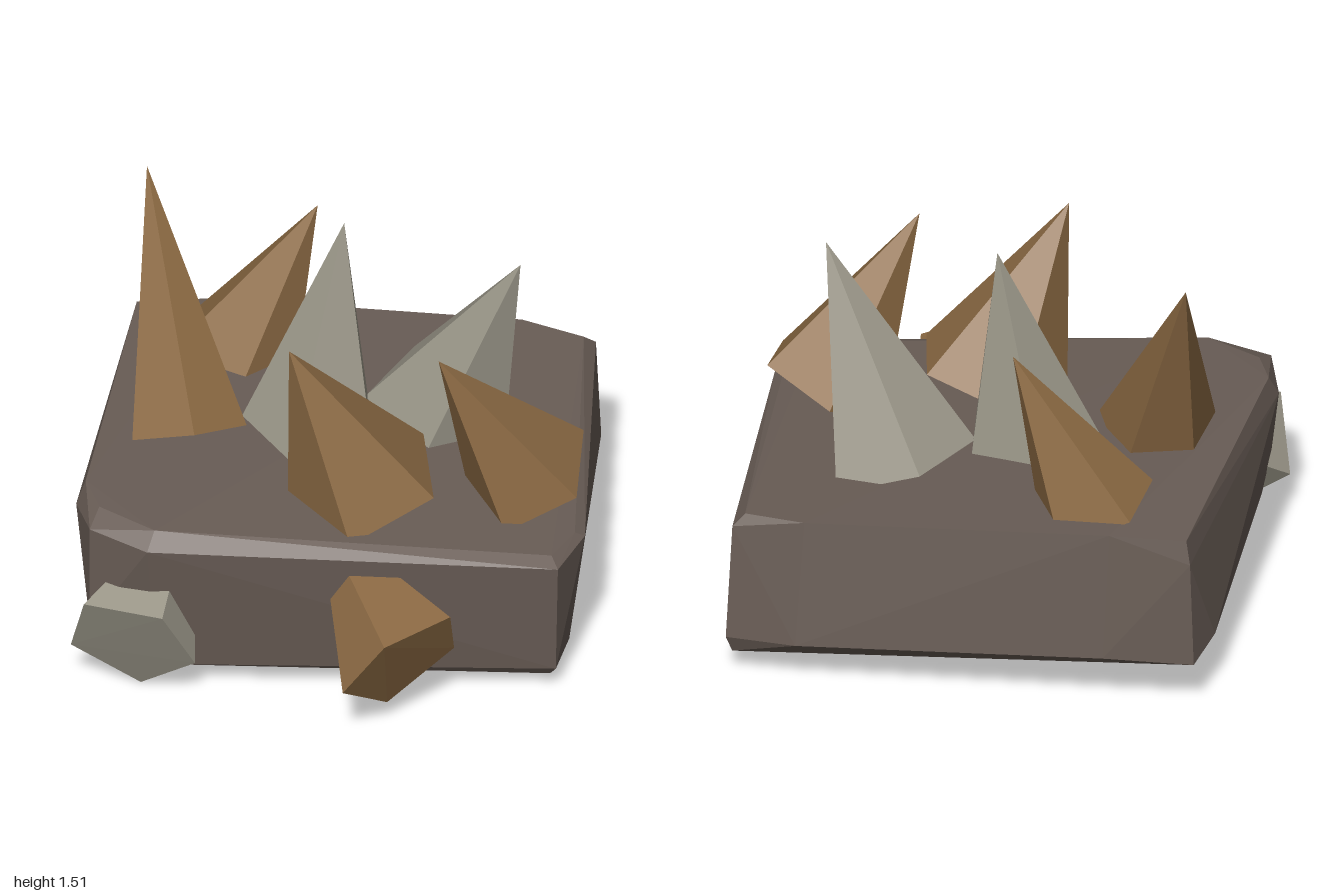
import * as THREE from 'three';
import { ConvexGeometry } from 'three/addons/geometries/ConvexGeometry.js';

const material = (name, color) => {
  const m = new THREE.MeshStandardMaterial({ color, flatShading: true });
  m.name = name;
  return m;
};
const vec = (p) => new THREE.Vector3(...p);

export function createModel() {
  const slabStone = material('darkStone', 0x685c55);
  const brown = material('brownCrystal', 0x8d6b44);
  const grey = material('greyCrystal', 0x9c988a);
  const model = new THREE.Group();
  model.name = 'crystalRock';

  const addHull = (name, mat, points) => {
    const mesh = new THREE.Mesh(new ConvexGeometry(points), mat);
    mesh.name = name;
    model.add(mesh);
  };

  // Five-sided spike: three neighbouring base corners fix the regular pentagon
  const phi = (1 + Math.sqrt(5)) / 2;
  const addSpike = (name, mat, apex, p0, p1, p2) => {
    const [a, b, c] = [p0, p1, p2].map(vec);
    const d = a.clone().addScaledVector(c.clone().sub(b), phi);
    const e = c.clone().addScaledVector(a.clone().sub(b), phi);
    addHull(name, mat, [vec(apex), a, b, c, d, e]);
  };

  // Chipped slab: top rim, upper shoulder, lower shoulder, underside
  const slab = [
    [-0.95, 0.69, -0.44], [-0.7, 0.7, -0.55], [0.33, 0.65, -0.9], [0.56, 0.63, -0.91],
    [0.95, 0.57, 0.14], [0.93, 0.575, 0.31], [-0.37, 0.68, 0.83], [-0.6, 0.69, 0.78], [-0.7, 0.7, 0.66],
    [-0.97, 0.6, -0.45], [0.59, 0.59, -0.95], [0.98, 0.55, 0.12], [0.97, 0.55, 0.35],
    [-0.37, 0.63, 0.9], [-0.6, 0.65, 0.87], [-0.72, 0.62, 0.7],
    [0.59, 0.16, -1.0], [0.33, 0.18, -0.97], [-0.7, 0.22, -0.6], [-0.99, 0.2, -0.46],
    [-0.98, 0.23, -0.28], [-0.6, 0.25, 0.87], [0.95, 0.1, 0.32],
    [0.58, 0.09, -0.97], [-0.93, 0.18, -0.43], [-0.6, 0.12, 0.8], [-0.37, 0.1, 0.82],
    [0.9, 0.055, 0.07], [0.92, 0.06, 0.3],
  ];
  addHull('slab', slabStone, slab.map(vec));

  // Spikes standing on top
  addSpike('tallLeftSpike', brown, [-0.79, 1.51, -0.14], [-0.64, 0.7, 0.37], [-0.4, 0.79, 0.38], [-0.29, 0.72, 0.16]);
  addSpike('backLeftSpike', brown, [-0.27, 1.27, -0.46], [-0.5, 0.59, -0.54], [-0.73, 0.71, -0.45], [-0.69, 0.74, -0.2]);
  addSpike('frontSpike', brown, [0, 1.32, 0.48], [0.33, 0.76, 0.03], [0.49, 0.72, 0.33], [0.26, 0.6, 0.55]);
  addSpike('rightSpike', brown, [0.48, 1.26, 0.26], [0.57, 0.69, -0.25], [0.85, 0.77, -0.19], [0.94, 0.69, 0.1]);
  addSpike('backRightSpike', grey, [0.59, 1.38, -0.24], [0.37, 0.59, -0.58], [0.07, 0.71, -0.52], [0.02, 0.7, -0.19]);
  addHull('centreSpike', grey, [
    [-0.04, 1.46, -0.14], [-0.27, 0.61, -0.22], [0.02, 0.58, -0.24],
    [0.14, 0.6, 0.03], [-0.09, 0.65, 0.25], [-0.36, 0.65, 0.07],
  ].map(vec));

  // Spikes buried point-first in the front face
  addHull('frontRightStub', brown, [
    [0.07, 0.57, 0.37], [0.54, 0.47, 0.92], [0.69, 0.48, 0.67],
    [0.66, 0.27, 0.56], [0.47, 0.09, 0.72], [0.39, 0.25, 0.94],
  ].map(vec));
  addHull('frontLeftStub', grey, [
    [-0.4, 0.55, 0.38], [-0.57, 0.42, 1.0], [-0.28, 0.42, 0.98],
    [-0.2, 0.18, 0.87], [-0.43, 0, 0.81], [-0.66, 0.16, 0.9],
  ].map(vec));

  return model;
}
